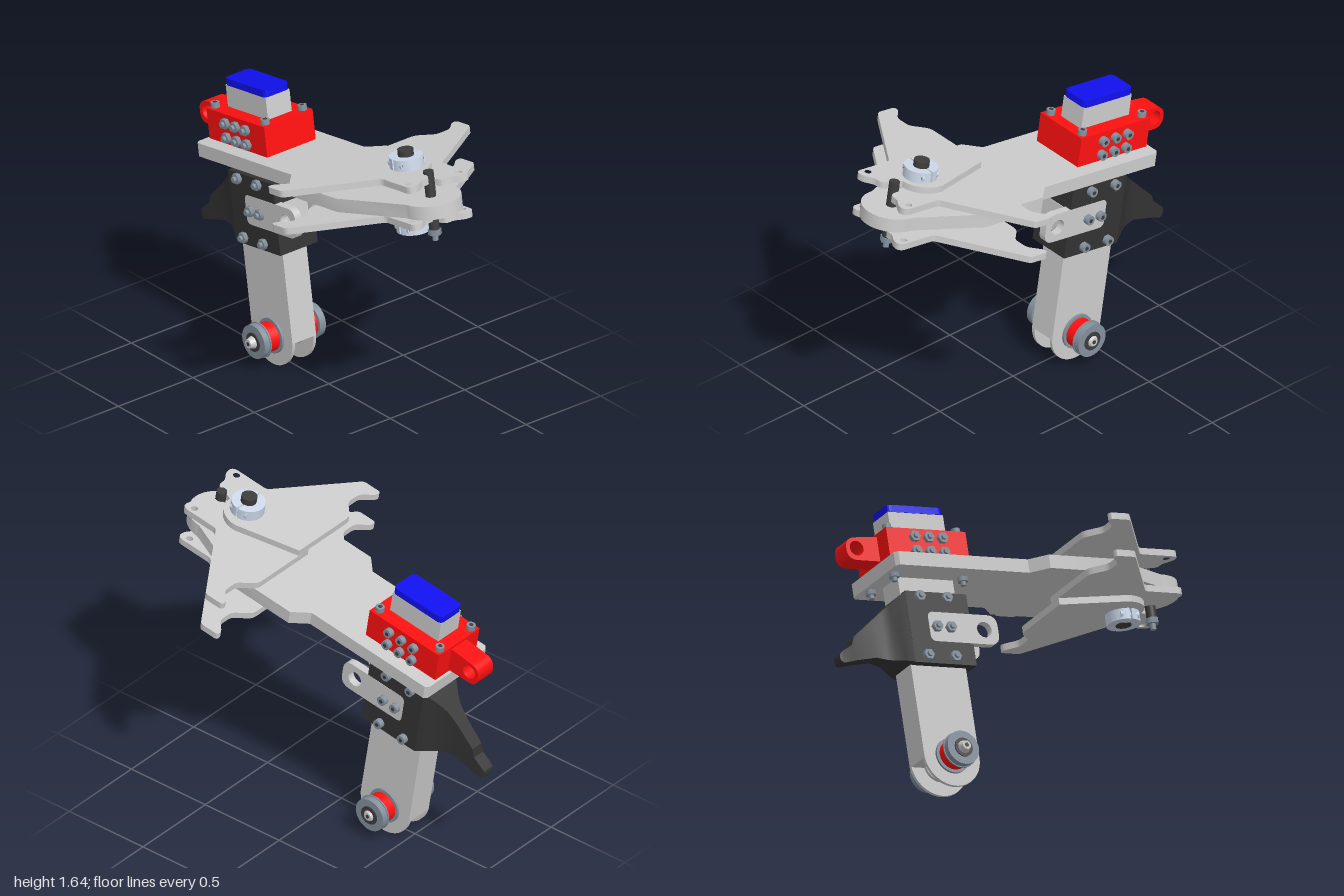
import * as THREE from 'three';
import { toCreasedNormals } from 'three/addons/utils/BufferGeometryUtils.js';

const mat = (color) => new THREE.MeshStandardMaterial({ color });
const GREY = mat(0xcccccc), RED = mat(0xff1010), BLUE = mat(0x1010ee), BLACK = mat(0x333333);
const STEEL = mat(0x84909c), COLLAR = mat(0xccd8ea), DARK = mat(0x3c3c3c);

function add(parent, name, geo, material, x = 0, y = 0, z = 0) {
  const m = new THREE.Mesh(geo, material);
  m.name = name;
  m.position.set(x, y, z);
  parent.add(m);
}

// Closed outline from [a, b, cornerRadius] points
function outline(pts) {
  const s = new THREE.Shape();
  const n = pts.length;
  pts.forEach(([a, b, r = 0], i) => {
    const p = new THREE.Vector2(a, b);
    const toward = (q) => {
      const d = new THREE.Vector2(q[0], q[1]).sub(p);
      return p.clone().addScaledVector(d.normalize(), r);
    };
    const p0 = toward(pts[(i + n - 1) % n]), p1 = toward(pts[(i + 1) % n]);
    if (i === 0) s.moveTo(p0.x, p0.y); else s.lineTo(p0.x, p0.y);
    if (r) s.quadraticCurveTo(a, b, p1.x, p1.y);
  });
  s.closePath();
  return s;
}

function hole(shape, a, b, r) {
  shape.holes.push(new THREE.Path().absarc(a, b, r, 0, Math.PI * 2, true));
}

const extrude = (shape, depth) =>
  new THREE.ExtrudeGeometry(shape, { depth, bevelEnabled: false, curveSegments: 20 });

// Side profile (z, y) spread from x0 to x1
const sideGeo = (shape, x0, x1) =>
  toCreasedNormals(extrude(shape, x1 - x0).rotateY(-Math.PI / 2).translate(x1, 0, 0), 0.6);

// Plan profile (x, z) spread from y0 to y1
const planGeo = (shape, y0, y1) =>
  toCreasedNormals(extrude(shape, y1 - y0).rotateX(Math.PI / 2).translate(0, y1, 0), 0.6);

const cyl = (r, h, seg = 32) => new THREE.CylinderGeometry(r, r, h, seg);
const cylX = (r, h, seg = 32) => cyl(r, h, seg).rotateZ(Math.PI / 2);

// Socket head on the left, hex nut on the right
function crossBolt(parent, face, y, z) {
  const g = new THREE.Group();
  g.name = 'crossBolt';
  add(g, 'boltHead', cylX(0.026, 0.03, 20), STEEL, face + 0.015, y, z);
  add(g, 'boltSocket', cylX(0.012, 0.004, 6), DARK, face + 0.03, y, z);
  add(g, 'boltNut', cylX(0.03, 0.024, 6), STEEL, -face - 0.012, y, z);
  add(g, 'boltEnd', cylX(0.015, 0.04, 16), STEEL, -face - 0.02, y, z);
  parent.add(g);
}

// One half of a pair of claws; side = +1 left, -1 right
function claw(parent, name, side, y0, y1) {
  const pts = [[-0.04, 0.255], [0.365, 0.255, 0.03], [0.445, 0.335, 0.025], [0.535, 0.335, 0.025],
    [0.6, 0.272, 0.02], [0.633, 0.272, 0.02], [0.633, 0.385, 0.02], [0.2, 0.68, 0.02],
    [0.2, 0.915, 0.045], [0.14, 0.905, 0.02], [0.09, 0.87, 0.02], [0.04, 0.87, 0.02]];
  for (let i = 0; i <= 8; i++) {
    const t = Math.PI * (0.5 + i * 0.53 / 8);
    pts.push([0.14 * Math.cos(t), 0.62 + 0.14 * Math.sin(t)]);
  }
  const place = (z) => (z + 0.548) / 0.987;
  const shape = outline(pts.map(([x, z, r]) => [x * side, place(z), r]));
  hole(shape, 0.165 * side, place(0.855), 0.018);
  add(parent, name, planGeo(shape, y0, y1), GREY);
}

// Split clamping ring on the pivot shaft
function splitCollar(parent, y) {
  const g = new THREE.Group();
  g.name = 'splitCollar';
  for (const s of [-1, 1]) {
    const a = s > 0 ? 0.06 : Math.PI + 0.06, b = a + Math.PI - 0.12;
    const half = new THREE.Shape().absarc(0, 0, 0.09, a, b, false);
    half.absarc(0, 0, 0.042, b, a, true);
    half.closePath();
    add(g, 'collarHalf', planGeo(half, -0.03, 0.03), COLLAR);
    const screw = cyl(0.022, 0.11, 20).rotateX(Math.PI / 2);
    add(g, 'collarScrew', screw, COLLAR, s * 0.06);
    add(g, 'collarSocket', cyl(0.013, 0.004, 6).rotateX(Math.PI / 2), DARK, s * 0.06, 0, 0.055);
  }
  g.position.set(0, y, 1.207);
  parent.add(g);
}

// Tapered solid through rectangular sections [z, yBottom, yTop, halfWidth]
function taperGeo(sections) {
  const pos = [], idx = [];
  for (const [z, b, t, h] of sections) pos.push(-h, b, z, h, b, z, h, t, z, -h, t, z);
  for (let i = 0; i + 1 < sections.length; i++) {
    for (let k = 0; k < 4; k++) {
      const a = i * 4 + k, b = i * 4 + (k + 1) % 4;
      idx.push(a, a + 4, b, b, a + 4, b + 4);
    }
  }
  const e = (sections.length - 1) * 4;
  idx.push(e, e + 2, e + 1, e, e + 3, e + 2);
  const g = new THREE.BufferGeometry();
  g.setAttribute('position', new THREE.Float32BufferAttribute(pos, 3));
  g.setIndex(idx);
  return toCreasedNormals(g, 0.5);
}

export function createModel() {
  const model = new THREE.Group();
  model.name = 'mechanicalArm';
  // Everything leans back about the wheel axle
  const arm = new THREE.Group();
  arm.name = 'leaningArm';
  arm.rotation.x = -0.16;
  arm.position.set(0, 0.17, -0.365);
  model.add(arm);

  // Post with a forked, rounded foot
  const axleY = -0.006;
  add(arm, 'post', new THREE.BoxGeometry(0.16, 1.37, 0.33), GREY, 0, 0.665, 0);
  for (const s of [-1, 1]) {
    const cheek = new THREE.Shape().moveTo(0.165, 0).lineTo(-0.165, 0);
    cheek.absarc(0, axleY, 0.165, Math.PI, Math.PI * 2, false);
    add(arm, 'forkCheek', sideGeo(cheek, s > 0 ? 0.062 : -0.08, s > 0 ? 0.08 : -0.062), GREY);
    // Wheel stack
    const wheel = new THREE.Group();
    wheel.name = 'wheel';
    wheel.position.y = axleY;
    add(wheel, 'forkWasher', cylX(0.09, 0.019), GREY, s * 0.0525);
    add(wheel, 'innerFlange', cylX(0.097, 0.013), STEEL, s * 0.087);
    add(wheel, 'redHub', cylX(0.08, 0.075), RED, s * 0.128);
    add(wheel, 'outerFlange', cylX(0.098, 0.008), STEEL, s * 0.166);
    add(wheel, 'tyre', cylX(0.093, 0.036), STEEL, s * 0.187);
    add(wheel, 'washer', cylX(0.052, 0.008), DARK, s * 0.207);
    // The axle sits slightly to the right
    const tip = s > 0 ? 0.222 : 0.242;
    const cap = new THREE.CylinderGeometry(0.024, 0.038, tip - 0.2, 24).rotateZ(-s * Math.PI / 2);
    add(wheel, 'axleScrew', cap, GREY, s * (tip + 0.2) / 2);
    add(wheel, 'axleSocket', cylX(0.012, 0.003, 6), DARK, s * tip);
    arm.add(wheel);
  }

  // Black clamp around the post, narrowing quickly to a thin tail
  add(arm, 'clampBody', new THREE.BoxGeometry(0.25, 0.398, 0.366), BLACK, 0, 0.693, 0.022);
  add(arm, 'clampTail', taperGeo([[-0.16, 0.496, 0.89, 0.125], [-0.2, 0.508, 0.86, 0.1],
    [-0.24, 0.517, 0.827, 0.07], [-0.28, 0.527, 0.795, 0.05], [-0.34, 0.54, 0.746, 0.04],
    [-0.457, 0.52, 0.651, 0.036], [-0.475, 0.515, 0.605, 0.036], [-0.535, 0.502, 0.568, 0.036],
    [-0.55, 0.512, 0.556, 0.034], [-0.555, 0.525, 0.542, 0.032]]), BLACK);
  add(arm, 'clampInsert', new THREE.BoxGeometry(0.17, 0.165, 0.02), GREY, 0, 0.692, 0.2);
  for (const s of [-1, 1]) {
    const tab = outline([[-0.046, 0.618, 0.035], [0.366, 0.618, 0.06],
      [0.366, 0.782, 0.06], [-0.046, 0.782, 0.035]]);
    hole(tab, 0.283, 0.7, 0.043);
    add(arm, 'sideTab', sideGeo(tab, s > 0 ? 0.083 : -0.126, s > 0 ? 0.126 : -0.083), GREY);
  }
  for (const z of [0.08, -0.082]) for (const y of [0.863, 0.535]) crossBolt(arm, 0.125, y, z);
  for (const z of [0.078, -0.004]) crossBolt(arm, 0.126, 0.698, z);

  // Long main plate with a rounded nose
  const plate = new THREE.Shape().moveTo(-0.245, -0.24).lineTo(-0.225, -0.258);
  plate.lineTo(0.225, -0.258).lineTo(0.245, -0.24).lineTo(0.245, 0.534).lineTo(0.325, 0.615);
  plate.lineTo(0.325, 1.0).absarc(0, 1.377, 0.163, 0, Math.PI, false);
  plate.lineTo(-0.325, 1.0).lineTo(-0.325, 0.615).lineTo(-0.245, 0.534).closePath();
  add(arm, 'mainPlate', planGeo(plate, 0.985, 1.06), GREY);

  // Claw pairs above and below the plate, right half on top
  for (const y of [0.906, 1.113]) {
    claw(arm, 'leftClaw', 1, y, y + 0.036);
    claw(arm, 'rightClaw', -1, y + 0.037, y + 0.073);
  }
  add(arm, 'pivotShaft', cyl(0.042, 0.455), DARK, 0, 1.055, 1.207);
  splitCollar(arm, 1.218);
  splitCollar(arm, 0.862);
  add(arm, 'stopRod', cyl(0.028, 0.33, 24), DARK, 0, 1.035, 1.383);
  add(arm, 'stopRodNut', cyl(0.036, 0.03, 6), STEEL, 0, 0.862, 1.383);
  add(arm, 'stopRodTip', cyl(0.016, 0.05, 16), STEEL, 0, 0.84, 1.383);

  // Red mount with a rear eye
  add(arm, 'redMount', new THREE.BoxGeometry(0.325, 0.168, 0.476), RED, 0, 1.144, -0.004);
  const eye = outline([[-0.24, 1.075], [-0.24, 1.213], [-0.37, 1.203, 0.02],
    [-0.436, 1.195, 0.055], [-0.436, 1.078, 0.055], [-0.37, 1.075]]);
  hole(eye, -0.373, 1.142, 0.041);
  add(arm, 'rearEye', sideGeo(eye, -0.06, 0.06), RED);
  for (const z of [0.083, 0, -0.083]) for (const y of [1.18, 1.1]) crossBolt(arm, 0.163, y, z);
  for (const x of [-0.125, 0.125]) {
    for (const z of [-0.213, 0.198]) {
      add(arm, 'mountBoltHead', cyl(0.024, 0.028, 20), STEEL, x, 1.242, z);
      add(arm, 'mountBoltSocket', cyl(0.012, 0.004, 6), DARK, x, 1.256, z);
      add(arm, 'mountBoltNut', cyl(0.03, 0.024, 6), STEEL, x, 0.973, z);
      add(arm, 'mountBoltEnd', cyl(0.015, 0.05, 16), STEEL, x, 0.965, z);
    }
  }

  // Blue cap on the post
  const cap = outline([[-0.083, -0.167, 0.03], [0.083, -0.167, 0.03],
    [0.083, 0.165, 0.03], [-0.083, 0.165, 0.03]]);
  add(arm, 'blueCap', planGeo(cap, 1.35, 1.389), BLUE);
  return model;
}
